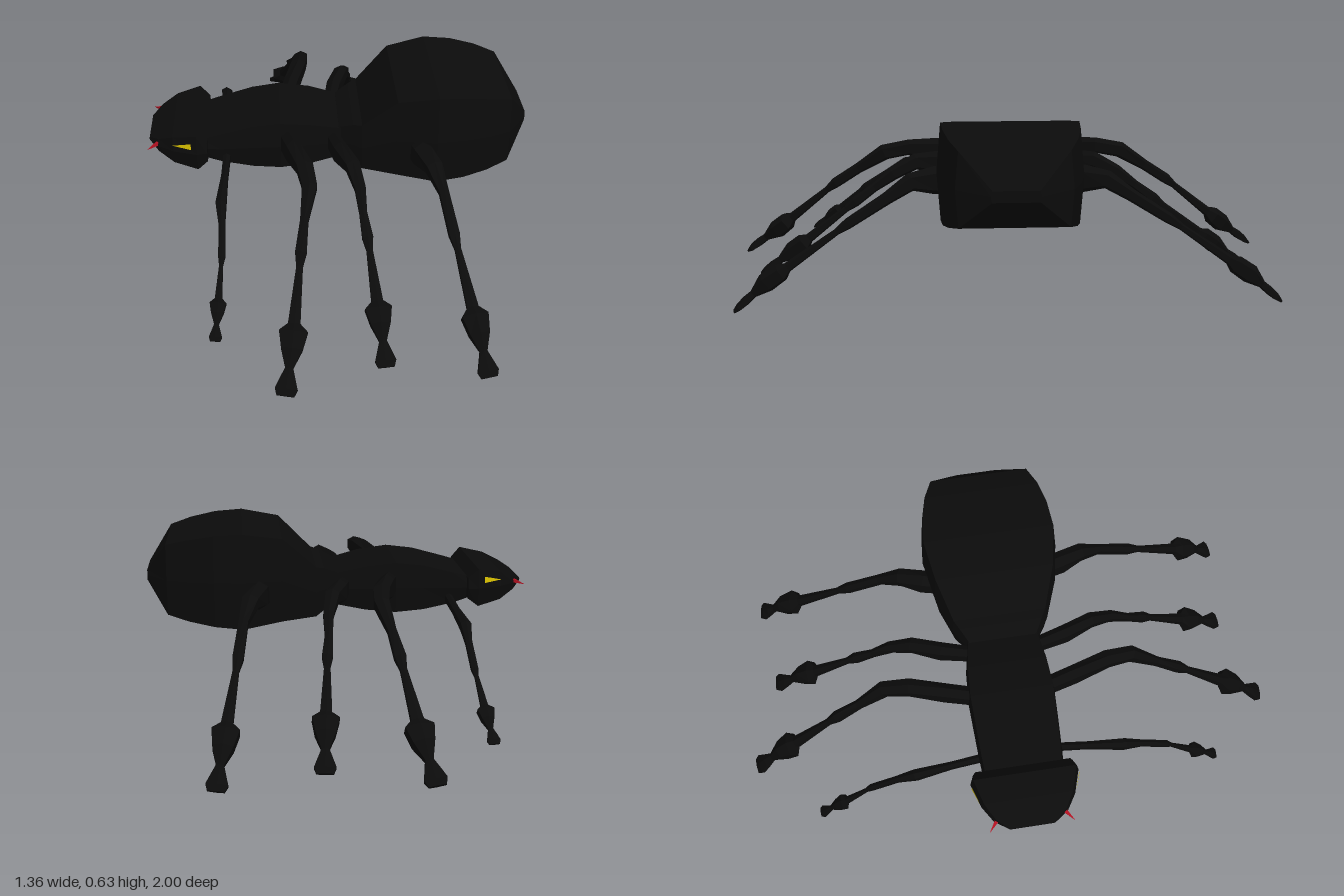
import * as THREE from 'three';

const black = new THREE.MeshStandardMaterial({ color: 0x0b0b0b, flatShading: true });
const red = new THREE.MeshStandardMaterial({ color: 0xb01020, flatShading: true });
const yellow = new THREE.MeshStandardMaterial({ color: 0xd8c000, side: THREE.DoubleSide });

// Faceted skin over rings of points (counter-clockwise about the travel direction), capped at both ends
function loft(rings) {
  const pos = [];
  const tri = (...pts) => pts.forEach((p) => pos.push(p.x, p.y, p.z));
  const n = rings[0].length;
  for (let i = 0; i < rings.length - 1; i++) {
    for (let j = 0; j < n; j++) {
      const k = (j + 1) % n;
      const [a, b, c, d] = [rings[i][j], rings[i][k], rings[i + 1][k], rings[i + 1][j]];
      tri(a, b, c);
      tri(a, c, d);
    }
  }
  const first = rings[0], last = rings[rings.length - 1];
  for (let j = 1; j < n - 1; j++) {
    tri(first[0], first[j + 1], first[j]);
    tri(last[0], last[j], last[j + 1]);
  }
  const geo = new THREE.BufferGeometry();
  geo.setAttribute('position', new THREE.Float32BufferAttribute(pos, 3));
  geo.computeVertexNormals();
  return geo;
}

function addMesh(parent, name, geo, mat) {
  const mesh = new THREE.Mesh(geo, mat);
  mesh.name = name;
  parent.add(mesh);
}

// Boxy body section with slightly bulging sides: [x, top, bottom, half width]
function bodyPart(sections) {
  return loft(sections.map(([x, top, bottom, w]) => {
    const mid = (top + bottom) / 2;
    return [[top, -w * 0.94], [top, w * 0.94], [mid, w], [bottom, w * 0.95], [bottom, -w * 0.95], [mid, -w]]
      .map(([y, z]) => new THREE.Vector3(x, y, z));
  }));
}

// Leg along a path of [x, y, z, half width, half thickness]
function leg(path, side) {
  const pts = path.map(([x, y, z]) => new THREE.Vector3(x, y, z * side));
  return loft(path.map(([, , , w, t], i) => {
    const dir = pts[Math.min(i + 1, pts.length - 1)].clone().sub(pts[Math.max(i - 1, 0)]).normalize();
    const u = new THREE.Vector3(1, 0, 0).addScaledVector(dir, -dir.x).normalize();
    const v = dir.clone().cross(u);
    return [[1, 0.6], [0, 1], [-1, 0.6], [-1, -0.6], [0, -1], [1, -0.6]]
      .map(([a, b]) => pts[i].clone().addScaledVector(u, a * w).addScaledVector(v, b * t));
  }));
}

// Shin joint, tufted ankle and flared foot, from the joint to the toe
function lowerLeg(joint, ankle, toe, s) {
  const at = (a, b, f, w, t) => [...a.map((c, i) => c + (b[i] - c) * f), w * s, t * s];
  return [
    at(joint, ankle, 0, 0.019, 0.02),
    at(joint, ankle, 0.15, 0.011, 0.012),
    at(joint, ankle, 0.74, 0.02, 0.018),
    at(joint, ankle, 0.82, 0.046, 0.034),
    at(ankle, toe, 0, 0.034, 0.036),
    at(ankle, toe, 0.4, 0.013, 0.014),
    at(ankle, toe, 0.62, 0.024, 0.016),
    at(ankle, toe, 0.85, 0.036, 0.013),
    at(ankle, toe, 1, 0.028, 0.006),
  ];
}

const legs = {
  frontLeg: [
    [-0.4, 0.37, 0.08, 0.013, 0.02], [-0.41, 0.345, 0.25, 0.012, 0.018],
    [-0.42, 0.325, 0.38, 0.018, 0.024], [-0.417, 0.29, 0.45, 0.011, 0.014],
    ...lowerLeg([-0.418, 0.23, 0.55], [-0.435, 0.11, 0.69], [-0.443, 0.055, 0.765], 0.6),
  ],
  secondLeg: [
    [-0.2, 0.41, 0.08, 0.025, 0.045], [-0.165, 0.43, 0.23, 0.026, 0.05],
    [-0.13, 0.45, 0.36, 0.028, 0.03], [-0.118, 0.435, 0.45, 0.025, 0.03],
    [-0.14, 0.37, 0.55, 0.014, 0.02],
    ...lowerLeg([-0.155, 0.31, 0.64], [-0.195, 0.115, 0.88], [-0.22, 0.03, 0.995], 1),
  ],
  thirdLeg: [
    [-0.03, 0.4, 0.08, 0.02, 0.035], [0.0, 0.42, 0.23, 0.025, 0.045],
    [0.035, 0.43, 0.33, 0.024, 0.03], [0.055, 0.39, 0.41, 0.018, 0.024],
    [0.06, 0.34, 0.48, 0.013, 0.016],
    ...lowerLeg([0.07, 0.29, 0.55], [0.095, 0.115, 0.78], [0.105, 0.035, 0.895], 0.95),
  ],
  hindLeg: [
    [0.26, 0.4, 0.15, 0.025, 0.045], [0.285, 0.42, 0.26, 0.032, 0.05],
    [0.315, 0.42, 0.34, 0.028, 0.032], [0.34, 0.37, 0.42, 0.016, 0.022],
    ...lowerLeg([0.36, 0.29, 0.55], [0.41, 0.1, 0.83], [0.432, 0.01, 0.935], 0.95),
  ],
};

export function createModel() {
  const group = new THREE.Group();

  // Body
  addMesh(group, 'head', bodyPart([
    [-0.68, 0.415, 0.405, 0.08], [-0.645, 0.435, 0.385, 0.13], [-0.59, 0.46, 0.357, 0.165],
    [-0.505, 0.475, 0.34, 0.192], [-0.47, 0.44, 0.365, 0.178],
  ]), black);
  addMesh(group, 'thorax', bodyPart([
    [-0.49, 0.435, 0.365, 0.143], [-0.42, 0.455, 0.343, 0.148], [-0.31, 0.485, 0.322, 0.153],
    [-0.21, 0.497, 0.315, 0.157], [-0.1, 0.484, 0.325, 0.15], [0.0, 0.46, 0.343, 0.135],
    [0.03, 0.46, 0.345, 0.135],
  ]), black);
  addMesh(group, 'abdomen', bodyPart([
    [0.0, 0.462, 0.35, 0.13], [0.05, 0.485, 0.33, 0.16], [0.08, 0.492, 0.312, 0.178],
    [0.2, 0.607, 0.31, 0.225], [0.34, 0.63, 0.29, 0.25], [0.44, 0.624, 0.3, 0.242],
    [0.53, 0.608, 0.317, 0.222], [0.605, 0.587, 0.335, 0.19], [0.68, 0.475, 0.437, 0.08],
  ]), black);

  for (const side of [1, -1]) {
    const prefix = side > 0 ? 'left' : 'right';

    // Eyes lie just outside the cheeks
    const eye = new THREE.BufferGeometry().setFromPoints([
      new THREE.Vector3(-0.592, 0.433, 0.166 * side),
      new THREE.Vector3(-0.525, 0.427, 0.19 * side),
      new THREE.Vector3(-0.525, 0.45, 0.188 * side),
    ]);
    eye.computeVertexNormals();
    addMesh(group, prefix + 'Eye', eye, yellow);

    // Fangs
    const fang = new THREE.ConeGeometry(0.016, 0.08, 4);
    const aim = new THREE.Vector3(-0.055, -0.012, 0.045 * side).normalize();
    fang.applyQuaternion(new THREE.Quaternion().setFromUnitVectors(new THREE.Vector3(0, 1, 0), aim));
    fang.translate(-0.652, 0.415, 0.125 * side);
    addMesh(group, prefix + 'Fang', fang, red);

    for (const [name, path] of Object.entries(legs)) {
      addMesh(group, prefix + name[0].toUpperCase() + name.slice(1), leg(path, side), black);
    }
  }
  return group;
}
